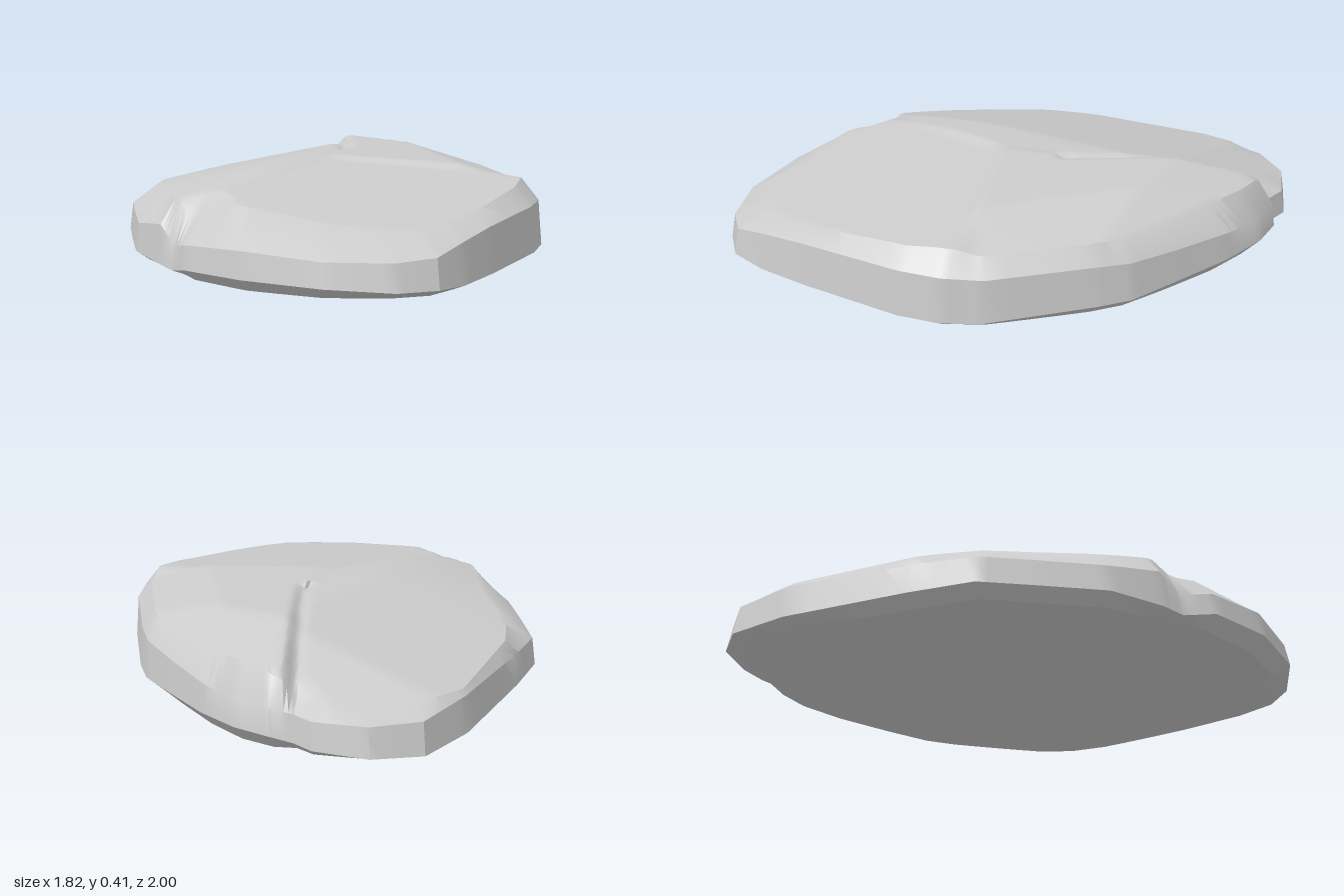
import * as THREE from 'three';
import { toCreasedNormals } from 'three/addons/utils/BufferGeometryUtils.js';

// Rim of the slab, clockwise from above: x, z, lower edge y, upper edge y, bevel width
const RIM = [
  [-0.48, -0.96, 0.1, 0.2, 0.05], [-0.4, -1, 0.12, 0.22, 0.06], [-0.25, -1, 0.12, 0.21, 0.08],
  [-0.05, -0.94, 0.11, 0.22, 0.08], [0.2, -0.83, 0.1, 0.23, 0.06], [0.39, -0.74, 0.09, 0.24, 0.05],
  [0.5, -0.65, 0.09, 0.25, 0.05], [0.8, -0.34, 0.08, 0.25, 0.06], [0.88, -0.2, 0.08, 0.26, 0.07],
  [0.91, -0.03, 0.08, 0.26, 0.07], [0.905, 0.4, 0.08, 0.25, 0.08], [0.89, 0.62, 0.08, 0.23, 0.1],
  [0.86, 0.78, 0.09, 0.2, 0.13], [0.75, 0.89, 0.09, 0.19, 0.16], [0.52, 0.99, 0.1, 0.19, 0.18],
  [0.2, 1, 0.1, 0.2, 0.18], [-0.09, 0.92, 0.09, 0.18, 0.12], [-0.2, 0.83, 0.06, 0.15, 0.06],
  [-0.29, 0.79, 0.07, 0.22, 0.07], [-0.48, 0.67, 0.08, 0.19, 0.13], [-0.65, 0.46, 0.08, 0.19, 0.13],
  [-0.79, 0.28, 0.08, 0.19, 0.11], [-0.84, 0.02, 0.08, 0.2, 0.04], [-0.91, -0.5, 0.08, 0.215, 0.02],
  [-0.89, -0.76, 0.08, 0.2, 0.06], [-0.76, -0.91, 0.09, 0.2, 0.07], [-0.57, -0.98, 0.1, 0.2, 0.06],
];
const SUB = 5, TOP_RINGS = 30;
const step = THREE.MathUtils.smoothstep;

// Height of the broken top: three sloping plates meeting at a crack and a ledge
function topHeight(x, z) {
  const front = Math.max(0, z), back = Math.max(0, -z - 0.62);
  const left = Math.min(0.41 + 0.06 * x, 0.44 + 0.235 * x) - 0.14 * front * front - 0.25 * back;
  const bevel = Math.max(0, (x - z) / 1.414 - 0.5);
  const rear = 0.42 - 0.05 * x + 0.02 * z - 0.25 * bevel - 0.3 * back;
  const fore = 0.41 - 0.1 * x - 0.1 * z;

  // Ledge between the rear and front plates, fading out past its ends
  const ledge = 0.05 - 0.35 * x;
  const soft = 0.025 + 0.25 * Math.max(0, x - 0.55) + 0.3 * Math.max(0, 0.1 - x);
  const right = THREE.MathUtils.lerp(rear, fore, step(z, ledge - soft, ledge + soft));

  // Crack that runs from the back rim to the front notch
  const crack = z < -0.25 ? -0.02 + 0.62 * (z + 0.25)
    : z < 0 ? 0.05 + 0.28 * z : 0.05 - 0.22 * z;
  let y = THREE.MathUtils.lerp(left, right, step(x, crack - 0.035, crack + 0.035));
  if (z < -0.2) y -= 0.02 * Math.exp(-(((x - crack) / 0.03) ** 2));

  // Chips at the front and back ends of the crack
  y -= 0.13 * Math.max(0, 1 - Math.hypot(x + 0.12, z - 0.85) / 0.17);
  y -= 0.05 * Math.max(0, 1 - Math.hypot(x + 0.46, z + 0.95) / 0.12);
  return y;
}

// Underside: nearly flat, with one low spot toward the front
function bottomHeight(x, z) {
  return 0.022 + 0.028 * (x * x + z * z) - 0.022 * Math.max(0, 1 - Math.hypot(x - 0.1, z - 0.3) / 0.35);
}

function slabGeometry() {
  const columns = [];
  RIM.forEach((a, i) => {
    const b = RIM[(i + 1) % RIM.length];
    for (let k = 0; k < SUB; k++) columns.push(a.map((v, j) => v + (b[j] - v) * k / SUB));
  });
  const n = columns.length;
  const rings = [];
  const addRing = (place) => rings.push(columns.map(place));

  // Underside rings, then the two edges of the side wall
  for (const s of [0.001, 0.2, 0.4, 0.6, 0.8, 0.93]) {
    addRing(([x, z]) => [x * s, bottomHeight(x * s, z * s), z * s]);
  }
  addRing(([x, z, low]) => [x, low, z]);
  addRing(([x, z, , high]) => [x * 0.982, high, z * 0.985]);
  // Bevelled shoulder and top surface
  for (let r = 0; r < TOP_RINGS; r++) {
    const t = Math.max(0.001, 1 - r / (TOP_RINGS - 1));
    addRing(([x, z, , high, inset]) => {
      const s = (0.982 - inset / Math.hypot(x, z)) * t;
      const y = topHeight(x * s, z * s);
      return [x * s, r === 0 ? Math.max(high, y) : y, z * s];
    });
  }

  const index = [];
  for (let r = 0; r < rings.length - 1; r++) {
    for (let i = 0; i < n; i++) {
      const j = (i + 1) % n;
      const a = r * n + i, b = r * n + j, c = b + n, d = a + n;
      index.push(a, d, c, a, c, b);
    }
  }
  const geometry = new THREE.BufferGeometry();
  geometry.setAttribute('position', new THREE.Float32BufferAttribute(rings.flat(2), 3));
  geometry.setIndex(index);
  return toCreasedNormals(geometry, 0.5);
}

export function createModel() {
  const model = new THREE.Group();
  model.name = 'flatRock';
  const slab = new THREE.Mesh(slabGeometry(), new THREE.MeshStandardMaterial({ color: 0xcccccc }));
  slab.name = 'rockSlab';
  model.add(slab);
  // Rest on the ground
  model.position.y = -new THREE.Box3().setFromObject(slab).min.y;
  return model;
}
